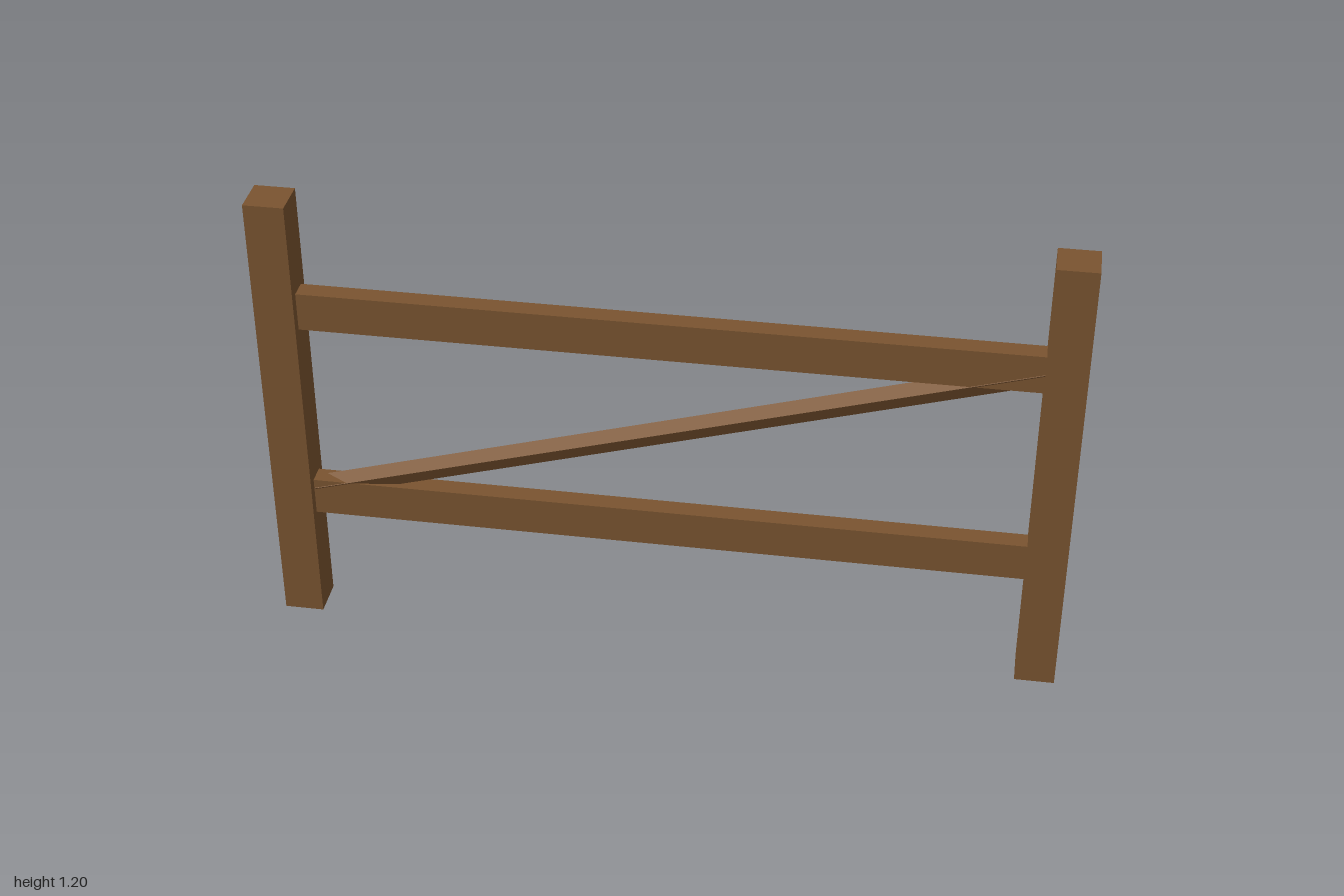
import * as THREE from 'three';

export function createModel() {
  const group = new THREE.Group();
  const wood = new THREE.MeshStandardMaterial({ color: 0x7a5430 });
  wood.name = 'brown wood';

  const beam = (name, w, h, d, x, y) => {
    const mesh = new THREE.Mesh(new THREE.BoxGeometry(w, h, d), wood);
    mesh.name = name;
    mesh.position.set(x, y, 0);
    group.add(mesh);
    return mesh;
  };

  // Upright posts
  beam('leftPost', 0.1, 1.2, 0.1, 0.95, 0.6);
  beam('rightPost', 0.1, 1.2, 0.1, -0.95, 0.6);

  // Horizontal rails between the posts
  beam('lowerRail', 1.8, 0.1, 0.05, 0, 0.35);
  beam('upperRail', 1.8, 0.1, 0.05, 0, 0.9);

  // Diagonal brace, rolled about its own length; ends sit inside the posts
  const brace = beam('diagonalBrace', 1.92, 0.04, 0.04, 0, 0.627);
  brace.rotation.set(THREE.MathUtils.degToRad(25), 0, 0.284, 'ZYX');

  return group;
}
